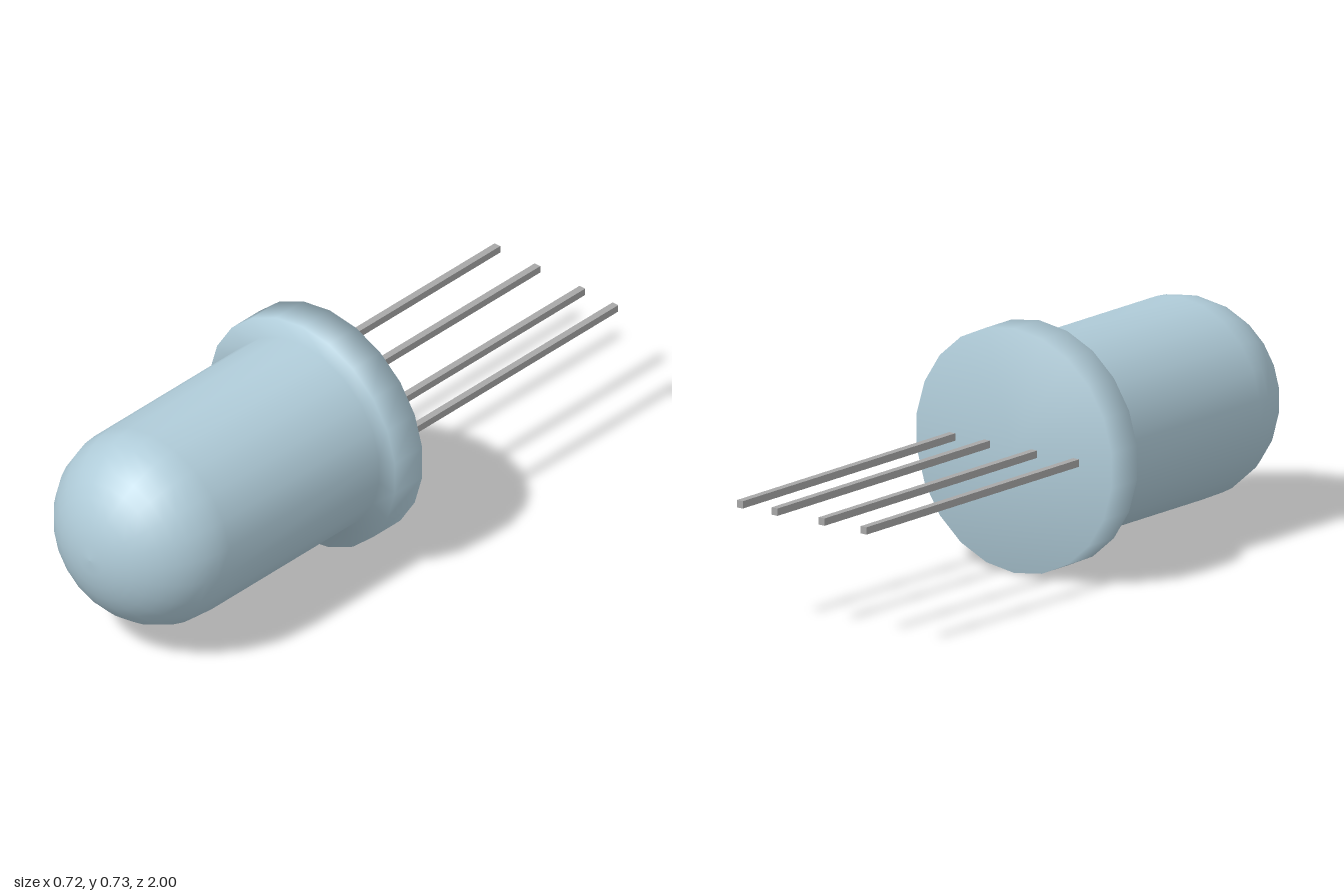
import * as THREE from 'three';

export function createModel() {
  const model = new THREE.Group();
  const lensMaterial = new THREE.MeshStandardMaterial({ color: 0xb0ccd9 });
  const leadMaterial = new THREE.MeshStandardMaterial({ color: 0xa8a8a8 });
  const axisY = 0.366;

  // Lens: base flange, straight barrel and rounded dome as one smooth turned body
  const flangeR = 0.365, barrelR = 0.302, back = -0.027, step = 0.09, shoulder = 0.73;
  const profile = [[0, back], [flangeR, back], [flangeR, step], [barrelR, step]]
    .map(([r, z]) => new THREE.Vector2(r, z));
  const domeSteps = 10;
  for (let i = 0; i <= domeSteps; i++) {
    const a = (i / domeSteps) * Math.PI / 2;
    const r = i === domeSteps ? 0 : barrelR * Math.cos(a);
    profile.push(new THREE.Vector2(r, shoulder + (1 - shoulder) * Math.sin(a)));
  }
  const lensGeometry = new THREE.LatheGeometry(profile, 22);
  lensGeometry.rotateX(Math.PI / 2); // turning axis now points to the front
  const lens = new THREE.Mesh(lensGeometry, lensMaterial);
  lens.name = 'lens';
  lens.position.y = axisY;
  model.add(lens);

  // Four square wire leads running out of the back
  const leads = new THREE.Group();
  leads.name = 'leads';
  const leadLength = 0.98;
  [-0.231, -0.075, 0.1, 0.229].forEach((x, i) => {
    const lead = new THREE.Mesh(new THREE.BoxGeometry(0.022, 0.022, leadLength), leadMaterial);
    lead.name = `lead${i + 1}`;
    lead.position.set(x, 0.37, -1 + leadLength / 2);
    leads.add(lead);
  });
  model.add(leads);

  return model;
}
